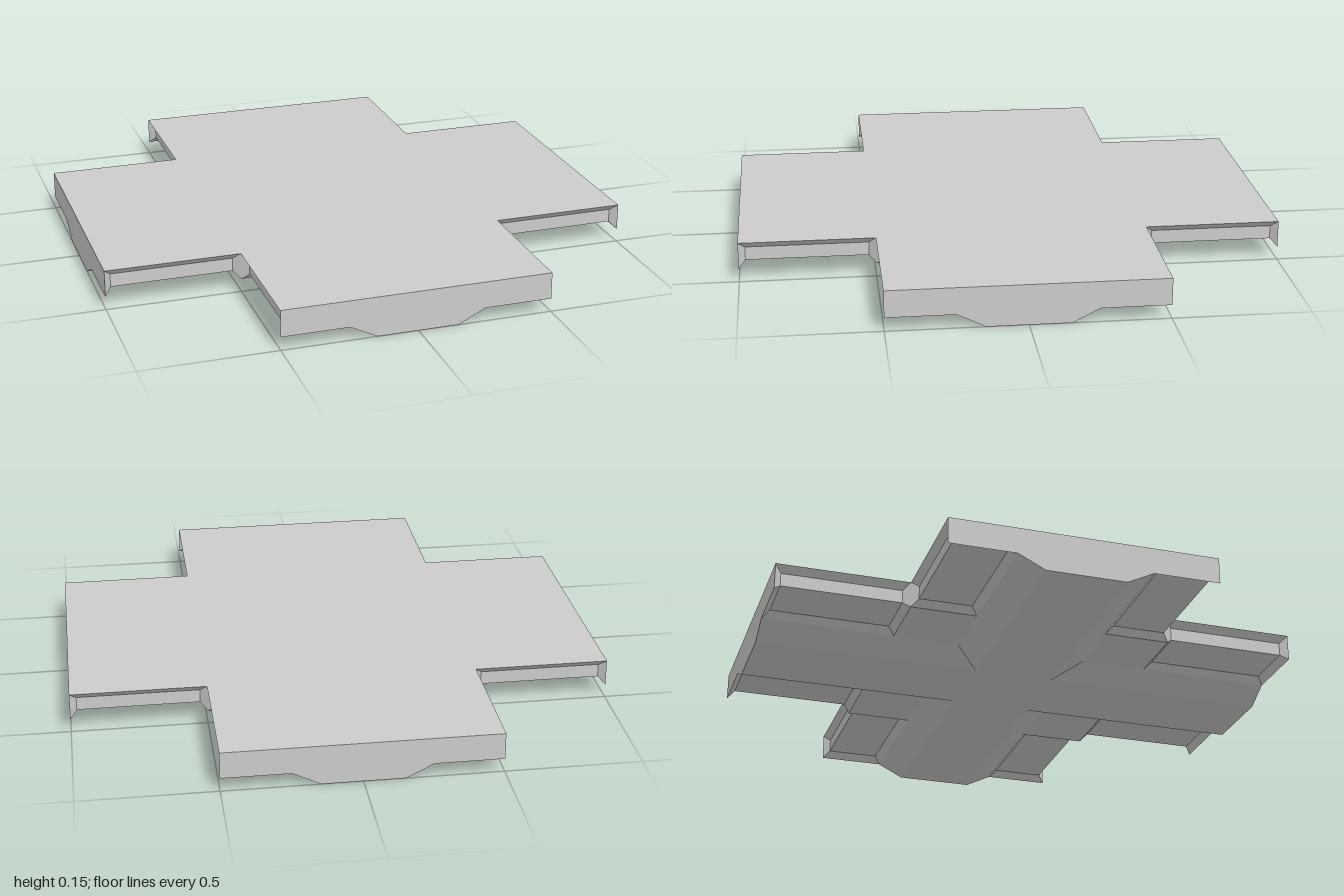
import * as THREE from 'three';

// Every part is described for one eighth of the cross (half of the +z arm, x > 0)
// as convex or fan-safe polygons, then mirrored and turned onto all four arms.
const TOP = 0.15, RIM = 0.05;
const HALF = 0.5, FOOT = 0.25, KEEL = 0.15; // half widths: deck, beam foot, beam bottom
const BEVEL = 0.025;

function spread(polygons) {
  const positions = [];
  for (let arm = 0; arm < 4; arm++) {
    const c = Math.round(Math.cos(arm * Math.PI / 2));
    const s = Math.round(Math.sin(arm * Math.PI / 2));
    for (const side of [1, -1]) {
      for (const polygon of polygons) {
        const pts = polygon.map(([x, y, z]) => [c * side * x + s * z, y, c * z - s * side * x]);
        if (side < 0) pts.reverse();
        // keep the fan centre at the polygon's first point after mirroring
        if (side < 0) pts.unshift(pts.pop());
        for (let i = 1; i < pts.length - 1; i++) {
          positions.push(...pts[0], ...pts[i], ...pts[i + 1]);
        }
      }
    }
  }
  const geometry = new THREE.BufferGeometry();
  geometry.setAttribute('position', new THREE.Float32BufferAttribute(positions, 3));
  geometry.computeVertexNormals();
  return geometry;
}

export function createModel() {
  const group = new THREE.Group();
  const material = new THREE.MeshStandardMaterial({ color: 0xcccccc, flatShading: true });
  const add = (name, polygons) => {
    const mesh = new THREE.Mesh(spread(polygons), material);
    mesh.name = name;
    group.add(mesh);
  };

  // Flat cross-shaped top
  add('deckTop', [
    [[0, TOP, 0], [0, TOP, 1], [HALF, TOP, 1], [HALF, TOP, HALF]],
  ]);

  // Vertical arm ends with the beam's trapezoid below
  add('armEnds', [
    [[0, TOP, 1], [0, 0, 1], [KEEL, 0, 1], [FOOT, RIM, 1], [HALF, RIM, 1], [HALF, TOP, 1]],
  ]);

  // Tapered crossing beams under the deck
  add('crossBeams', [
    [[0, 0, 0], [KEEL, 0, KEEL], [KEEL, 0, 1], [0, 0, 1]],
    [[KEEL, 0, KEEL], [FOOT, RIM, FOOT], [FOOT, RIM, 1], [KEEL, 0, 1]],
  ]);

  // Flat underside in the corners between the beams
  add('cornerUndersides', [
    [[FOOT, RIM, FOOT], [HALF, RIM, HALF], [FOOT, RIM, HALF]],
  ]);

  // Recess wrapping the side and underside of each arm, with bevelled borders
  const outer = [
    [HALF, TOP, HALF], [HALF, TOP, 1], [HALF, RIM, 1],
    [FOOT, RIM, 1], [FOOT, RIM, HALF], [HALF, RIM, HALF],
  ];
  const inner = outer.map(([x, y, z]) => [
    x + (x === HALF ? -BEVEL : BEVEL),
    y + (y === TOP ? -BEVEL : BEVEL),
    z + (z === 1 ? -BEVEL : BEVEL),
  ]);
  add('recessBevels', outer.map((p, i) => {
    const j = (i + 1) % outer.length;
    return [p, outer[j], inner[j], inner[i]];
  }));
  const [a, b, c, d, e, f] = inner;
  add('recessPanels', [[a, b, c, f], [f, c, d, e]]);

  return group;
}
